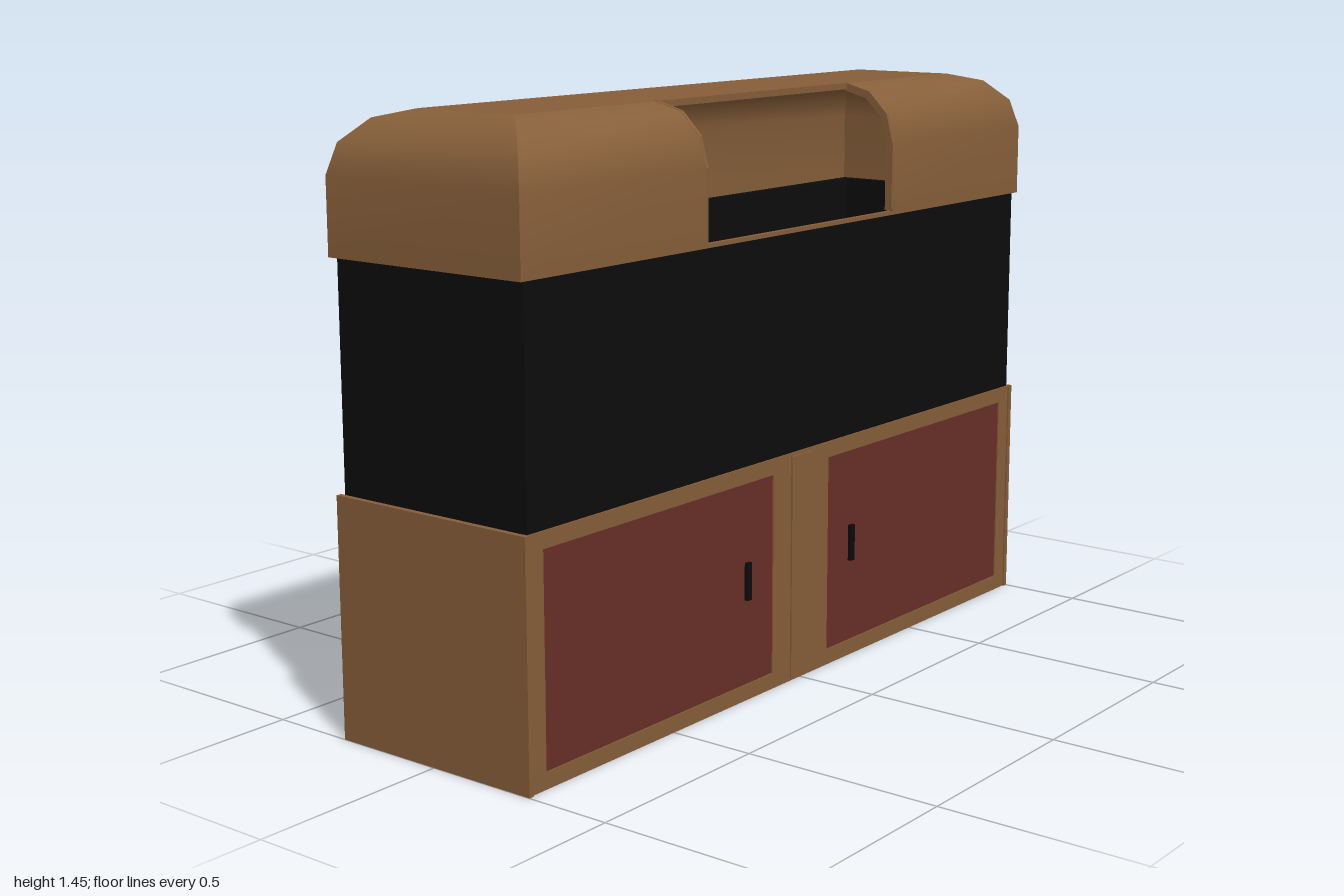
import * as THREE from 'three';

const mat = (name, color, side = THREE.FrontSide) => {
  const m = new THREE.MeshStandardMaterial({ color, side });
  m.name = name;
  return m;
};

export function createModel() {
  const wood = mat('wood', 0x875f3a, THREE.DoubleSide);
  const door = mat('doorRed', 0x682f27);
  const black = mat('black', 0x0c0c0c);
  const sand = mat('sand', 0x4e3c10);
  const model = new THREE.Group();
  model.name = 'aquariumCabinet';

  const add = (name, geo, material, parent = model) => {
    const m = new THREE.Mesh(geo, material);
    m.name = name;
    parent.add(m);
    return m;
  };
  // box given by its minimum and maximum corners
  const box = (name, material, x0, x1, y0, y1, z0, z1, parent) =>
    add(name, new THREE.BoxGeometry(x1 - x0, y1 - y0, z1 - z0), material, parent)
      .position.set((x0 + x1) / 2, (y0 + y1) / 2, (z0 + z1) / 2);
  const group = (name) => {
    const g = new THREE.Group();
    g.name = name;
    model.add(g);
    return g;
  };

  const D = 0.287;      // half depth
  const cut = 0.38;     // half width of the hood opening

  // ---- cabinet: open at the back and below ----
  const cabinet = group('cabinet');
  for (const s of [-1, 1]) {
    const a = s * 1, b = s * 0.986;
    box('sidePanel', wood, Math.min(a, b), Math.max(a, b), 0, 0.58, -D, D, cabinet);
  }
  box('tableTop', wood, -0.986, 0.986, 0.548, 0.568, -0.278, 0.27, cabinet);
  box('tableGroove', black, -0.975, 0.975, 0.54, 0.548, -0.27, 0.26, cabinet);
  box('underTop', wood, -0.986, 0.986, 0.518, 0.54, -0.278, 0.265, cabinet);

  // front frame with two door openings
  const frame = new THREE.Shape([[-0.986, 0], [0.986, 0], [0.986, 0.58], [-0.986, 0.58]]
    .map((p) => new THREE.Vector2(...p)));
  for (const s of [-1, 1]) {
    frame.holes.push(new THREE.Path([[0.115, 0.04], [0.94, 0.04], [0.94, 0.54], [0.115, 0.54]]
      .map(([x, y]) => new THREE.Vector2(s * x, y))));
  }
  const frameGeo = new THREE.ExtrudeGeometry(frame, { depth: 0.017, bevelEnabled: false });
  frameGeo.translate(0, 0, 0.266);
  add('frontFrame', frameGeo, wood, cabinet);
  box('centrePost', wood, -0.043, 0.043, 0.008, 0.572, 0.262, D, cabinet);

  // doors and handles
  for (const s of [-1, 1]) {
    const g = group('door');
    const lo = s < 0 ? -0.94 : 0.115, hi = s < 0 ? -0.115 : 0.94;
    box('doorPanel', door, lo, hi, 0.04, 0.54, 0.264, 0.28, g);
    box('handle', black, s * 0.218 - 0.008, s * 0.218 + 0.008, 0.252, 0.345, 0.255, 0.29, g);
  }

  // ---- tank: open at the top ----
  const tank = group('tank');
  box('tankFloor', black, -0.985, 0.985, 0.568, 0.59, -0.275, 0.279, tank);
  box('tankFront', black, -0.985, 0.985, 0.575, 1.125, 0.252, 0.279, tank);
  box('tankBack', black, -0.985, 0.985, 0.575, 1.125, -0.275, -0.25, tank);
  box('tankLeft', black, 0.96, 0.985, 0.575, 1.125, -0.25, 0.252, tank);
  box('tankRight', black, -0.985, -0.96, 0.575, 1.125, -0.25, 0.252, tank);
  box('sandBed', sand, -0.96, 0.96, 0.59, 0.63, -0.25, 0.252, tank);

  // ---- hood: rounded shell with mitred corners ----
  const hood = group('hood');
  // profile of [inset, height]
  const R = 0.144;
  const profile = [[0, 1.12], [0, 1.13]];
  for (let i = 0; i <= 3; i++) {
    const a = (i / 3) * Math.PI / 2;
    profile.push([R * (1 - Math.cos(a)), 1.301 + R * Math.sin(a)]);
  }
  // one curved wall between two x rules, turned to any side
  const wall = (name, half, depth, x0, x1, turn, rows = profile) => {
    const pos = [], idx = [];
    rows.forEach(([d, y], i) => {
      pos.push(x0(half - d), y, depth - d, x1(half - d), y, depth - d);
      if (i) {
        const k = 2 * i;
        idx.push(k - 2, k - 1, k + 1, k - 2, k + 1, k);
      }
    });
    const g = new THREE.BufferGeometry();
    g.setAttribute('position', new THREE.Float32BufferAttribute(pos, 3));
    g.setIndex(idx);
    g.computeVertexNormals();
    g.rotateY(turn);
    add(name, g, wood, hood);
  };
  const neg = (w) => -w, plus = (w) => w;
  wall('hoodFrontRight', 1, D, neg, () => -cut, 0);
  wall('hoodFrontLeft', 1, D, () => cut, plus, 0);
  wall('hoodFrontLip', 1, D, () => -cut, () => cut, 0, profile.slice(0, 2));
  wall('hoodBack', 1, D, neg, plus, Math.PI);
  wall('hoodLeft', D, 1, neg, plus, Math.PI / 2);
  wall('hoodRight', D, 1, neg, plus, -Math.PI / 2);
  const top = new THREE.PlaneGeometry(2 * (1 - R), 2 * (D - R));
  top.rotateX(-Math.PI / 2);
  top.translate(0, 1.301 + R, 0);
  add('hoodTop', top, wood, hood);

  // rim around the opening
  const outer = profile.slice(1).map(([d, y]) => new THREE.Vector2(D - d, y));
  const inner = outer.map((p, i) => {
    const a = Math.max(0, i - 1) / 3 * Math.PI / 2;
    return new THREE.Vector2(p.x - 0.02 * Math.cos(a), p.y - 0.02 * Math.sin(a));
  }).reverse();
  for (const s of [-1, 1]) {
    const g = new THREE.ExtrudeGeometry(new THREE.Shape([...outer, ...inner]),
      { depth: 0.01, bevelEnabled: false });
    g.rotateY(-Math.PI / 2); // profile x becomes z, depth becomes -x
    g.translate(s * cut + 0.005, 0.001, 0);
    add('openingRim', g, wood, hood);
  }
  box('openingTopRim', wood, -cut, cut, 1.43, 1.446, 0.135, 0.146, hood);
  box('openingSill', wood, -cut, cut, 1.121, 1.13, 0.274, D, hood);

  return model;
}
